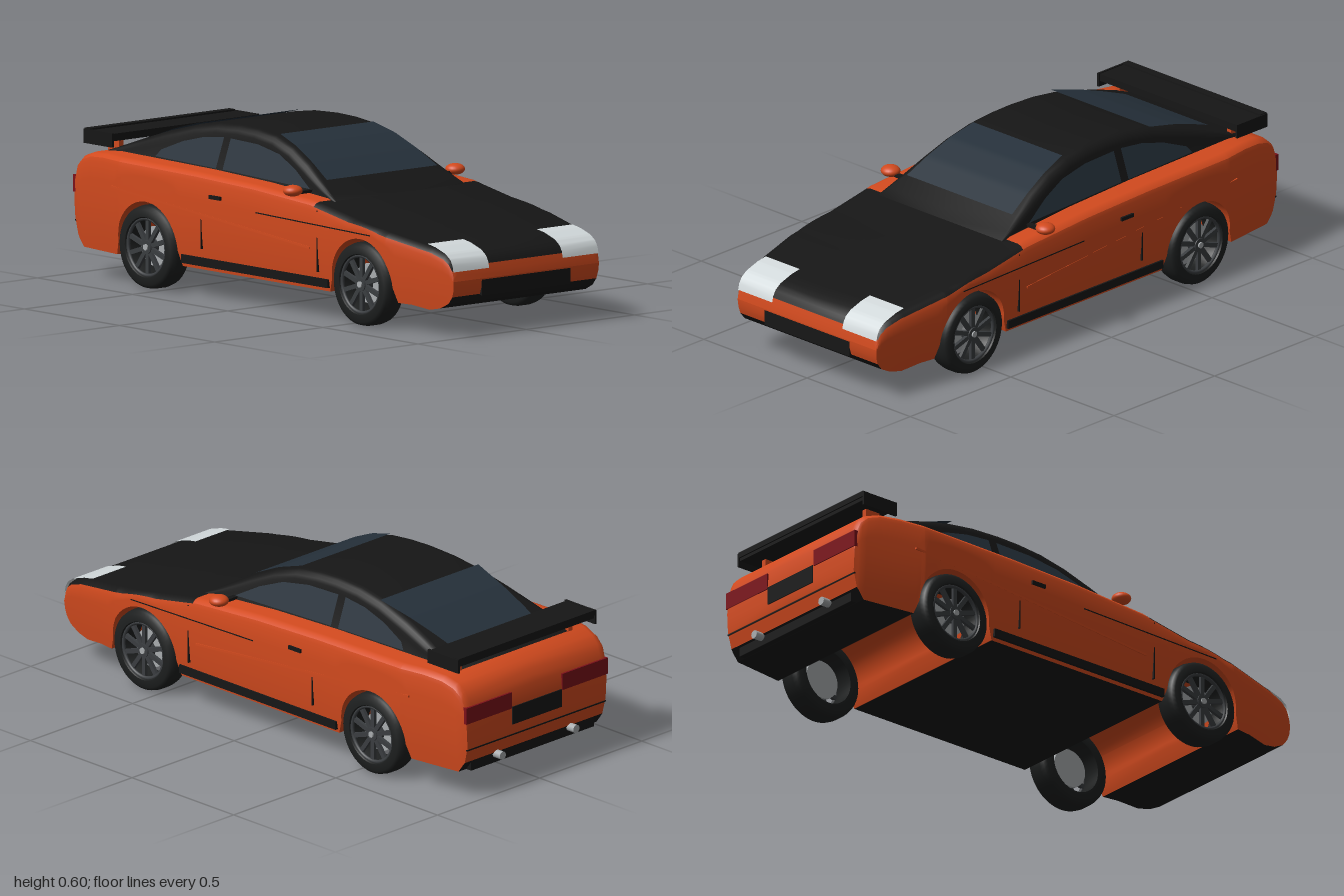
import * as THREE from 'three';
import { toCreasedNormals } from 'three/addons/utils/BufferGeometryUtils.js';

const paint = (color) => new THREE.MeshStandardMaterial({ color, side: THREE.DoubleSide });
const orange = paint(0xd24a1e), black = paint(0x161616), rubber = paint(0x1d1f1f);
const glass = paint(0x25303a), lamp = paint(0xd3dadc), red = paint(0x7c1019);
const metal = paint(0xa8acae), darkMetal = paint(0x3a3d40);

// Profiles along the car: [z, value], nose to tail
const TOP = [[1, .2], [.998, .225], [.993, .25], [.98, .272], [.955, .29], [.9, .308], [.86, .315], [.7, .342],
  [.5, .373], [.34, .402], [.3, .41], [0, .43], [-.3, .44], [-.8, .447], [-.88, .441], [-.93, .425],
  [-.96, .4], [-.98, .355], [-.985, .3]];
const BOTTOM = [[1, .2], [.998, .17], [.99, .145], [.97, .12], [.93, .1], [.88, .09], [.8, .1],
  [-.94, .1], [-.97, .14], [-.985, .2]];
const WIDTH = [[1, .342], [.97, .347], [.7, .388], [-.7, .388], [-.96, .352], [-.985, .343]];
const ROOF = [[.34, .405], [.3, .425], [.24, .458], [.15, .508], [.05, .553], [-.05, .582], [-.15, .594],
  [-.24, .597], [-.35, .592], [-.46, .575], [-.6, .538], [-.7, .505], [-.8, .468], [-.88, .44]];
const AXLES = [.565, -.56];
const ARCH = .157, FLARE = .175, ARCH_Y = .15;

const lerp = THREE.MathUtils.lerp;
function at(table, z) {
  if (z >= table[0][0]) return table[0][1];
  for (let i = 1; i < table.length; i++) {
    const [z0, v0] = table[i - 1], [z1, v1] = table[i];
    if (z >= z1) return lerp(v0, v1, (z0 - z) / (z0 - z1));
  }
  return table[table.length - 1][1];
}

// Underside height, including the wheel arches
function bottom(z) {
  for (const c of AXLES) {
    const d = Math.abs(z - c);
    if (d <= ARCH) return ARCH_Y + Math.sqrt(ARCH * ARCH - d * d);
    if (d < FLARE) return lerp(ARCH_Y, .1, (d - ARCH) / (FLARE - ARCH));
  }
  return at(BOTTOM, z);
}
const bodyX = (z, y) => at(WIDTH, z) * (1 - .05 * (Math.max(0, .33 - y) / .23) ** 2);
const cabinX = (y) => .3 - (y - .41) * .36;

// Skin over a list of cross-sections
function loft(rings) {
  const pos = [], n = rings[0].length;
  for (let i = 0; i + 1 < rings.length; i++) {
    for (let j = 0; j + 1 < n; j++) {
      const a = rings[i][j], b = rings[i + 1][j], c = rings[i + 1][j + 1], d = rings[i][j + 1];
      pos.push(...a, ...b, ...d, ...b, ...c, ...d);
    }
  }
  const geo = new THREE.BufferGeometry();
  geo.setAttribute('position', new THREE.Float32BufferAttribute(pos, 3));
  return toCreasedNormals(geo, .6);
}

// Half cross-sections, from bottom centre or base up to top centre
function bodySection(z, b = bottom(z), t = at(TOP, z)) {
  const r = Math.min(.03, .4 * (t - b)), pts = [[0, b, z]];
  for (let k = 0; k < 5; k++) {
    const y = lerp(b, t - r, k / 5);
    pts.push([bodyX(z, y), y, z]);
  }
  for (let k = 0; k <= 3; k++) {
    const a = k * Math.PI / 6;
    pts.push([bodyX(z, t - r) - r * (1 - Math.cos(a)), t - r + r * Math.sin(a), z]);
  }
  pts.push([0, t, z]);
  return pts;
}
function cabinSection(z) {
  const t = at(ROOF, z), b = Math.min(t, at(TOP, z)) - .02;
  const r = Math.min(.045, .5 * (t - b)), pts = [[cabinX(b), b, z]];
  for (let k = 0; k <= 5; k++) {
    const a = k * Math.PI / 10;
    pts.push([cabinX(t - r) - .9 * r * (1 - Math.cos(a)), t - r + r * Math.sin(a), z]);
  }
  pts.push([0, t, z]);
  return pts;
}

// Patch lying on a top profile, from z0 back to z1
function patch(table, z0, z1, xa, xb, lift, steps = 24) {
  const rings = [];
  for (let i = 0; i <= steps; i++) {
    const u = i / steps, z = lerp(z0, z1, u), y = at(table, z) + lift;
    rings.push([[lerp(xa[0], xa[1], u), y, z + lift * .5], [lerp(xb[0], xb[1], u), y, z + lift * .5]]);
  }
  return loft(rings);
}

export function createModel() {
  const car = new THREE.Group();
  car.name = 'sportsCar';
  const add = (name, geo, mat, x = 0, y = 0, z = 0, parent = car) => {
    const m = new THREE.Mesh(geo, mat);
    m.name = name;
    m.position.set(x, y, z);
    parent.add(m);
    return m;
  };
  const box = (name, mat, w, h, d, x, y, z, parent) => add(name, new THREE.BoxGeometry(w, h, d), mat, x, y, z, parent);
  const both = { left: new THREE.Group(), right: new THREE.Group() };
  both.right.scale.x = -1;
  for (const s of ['left', 'right']) { both[s].name = s + 'Side'; car.add(both[s]); }
  const pair = (make) => { make(both.left); make(both.right); };

  // Body shell: floor, sides and deck in lengthwise sections
  const stations = [...TOP, ...BOTTOM, ...WIDTH].map((p) => p[0]).concat(.32);
  for (const c of AXLES) {
    stations.push(c + FLARE, c - FLARE);
    for (let k = 0; k <= 24; k++) stations.push(c + ARCH * .99999 * Math.cos(k * Math.PI / 24));
  }
  const zs = [...new Set(stations)].sort((a, b) => b - a);
  const shell = (name, mat, front, back, from, to) => {
    const rings = zs.filter((z) => z <= front + 1e-6 && z >= back - 1e-6).map((z) => bodySection(z));
    if (back <= -.985) rings.push(bodySection(-.985, .25, .25));
    const geo = loft(rings.map((r) => r.slice(from, to)));
    pair((side) => add(name, geo, mat, 0, 0, 0, side));
  };
  const [fa, fb] = [AXLES[0] + FLARE, AXLES[0] - FLARE], [ra, rb] = [AXLES[1] + FLARE, AXLES[1] - FLARE];
  shell('bodySide', orange, 1, -.985, 1, 8);
  shell('nose', orange, 1, .993, 7, 11);
  shell('hood', black, .993, .32, 7, 11);
  shell('rearDeck', orange, .32, -.985, 7, 11);
  shell('frontBumper', orange, 1, .99, 0, 2);
  shell('frontFloor', black, .99, fa, 0, 2);
  shell('frontArch', orange, fa, fb, 0, 2);
  shell('floor', black, fb, ra, 0, 2);
  shell('rearArch', orange, ra, rb, 0, 2);
  shell('rearFloor', black, rb, -.97, 0, 2);
  shell('rearBumper', orange, -.97, -.985, 0, 2);

  // Cabin and glass
  const cabin = loft(ROOF.map(([z]) => cabinSection(z)));
  pair((side) => add('cabin', cabin, black, 0, 0, 0, side));
  add('windshield', patch(ROOF, .24, -.05, [.255, .215], [-.255, -.215], .005), glass);
  add('rearWindow', patch(ROOF, -.46, -.79, [.24, .2], [-.24, -.2], .005), glass);
  const sideWindow = (name, pts) => {
    const geo = new THREE.ShapeGeometry(new THREE.Shape(pts.map((p) => new THREE.Vector2(-p[0], p[1]))));
    const p = geo.attributes.position;
    for (let i = 0; i < p.count; i++) p.setXYZ(i, cabinX(p.getY(i)) + .003, p.getY(i), -p.getX(i));
    geo.computeVertexNormals();
    pair((side) => add(name, geo, glass, 0, 0, 0, side));
  };
  sideWindow('frontSideWindow', [[.2, .43], [-.265, .444], [-.265, .55], [-.12, .546], [0, .526], [.1, .486]]);
  sideWindow('rearSideWindow', [[-.3, .444], [-.62, .45], [-.6, .475], [-.5, .515], [-.4, .54], [-.3, .55]]);

  // Front lights and grille
  const light = patch(TOP, .997, .86, [.335, .335], [.17, .17], .004);
  pair((side) => add('headlight', light, lamp, 0, 0, 0, side));
  box('grille', black, .41, .055, .024, 0, .168, .988);

  // Tail panel, lights and exhausts
  box('tailPanel', black, .24, .065, .012, 0, .262, -.983);
  box('bumperSeam', black, .68, .005, .006, 0, .19, -.982);
  box('diffuser', black, .6, .035, .03, 0, .118, -.95);
  pair((side) => {
    box('tailLight', red, .222, .06, .02, .235, .32, -.978, side);
    add('exhaust', new THREE.CylinderGeometry(.015, .015, .07, 20), metal, .18, .133, -.965, side).rotation.x = Math.PI / 2;
  });

  // Spoiler
  box('spoilerBlade', black, .67, .026, .14, 0, .499, -.865);
  box('spoilerLip', black, .67, .02, .03, 0, .508, -.925);
  pair((side) => {
    box('spoilerEndPlate', black, .008, .05, .15, .335, .49, -.865, side);
    box('spoilerPost', orange, .02, .06, .06, .27, .465, -.85, side);
  });

  // Mirrors, door seams, handles, creases and sills
  pair((side) => {
    add('mirror', new THREE.SphereGeometry(1, 24, 16), orange, .375, .433, .2, side).scale.set(.035, .02, .034);
    box('mirrorStalk', black, .1, .01, .02, .315, .424, .2, side);
    for (const [z, y0, y1] of [[.34, .165, .38], [-.27, .175, .385]]) {
      box('doorSeam', black, .02, y1 - y0, .005, .377, (y0 + y1) / 2, z, side);
    }
    box('doorHandle', black, .02, .013, .06, .386, .364, -.19, side);
    box('sideSeam', black, .006, .004, .6, .386, .33, .32, side).rotation.x = .02;
    box('sideCrease', orange, .01, .008, 1.05, .383, .292, -.22, side).rotation.x = .09;
    box('sill', black, .03, .03, .77, .367, .128, .005, side);
  });

  // Wheels
  const tyre = new THREE.LatheGeometry([[.1, -.045], [.132, -.045], [.143, -.036], [.147, -.018], [.147, .018],
    [.143, .036], [.132, .045], [.106, .045], [.1, .035], [.1, -.045]].map((p) => new THREE.Vector2(...p)), 48);
  const wheel = (side, z) => {
    const g = new THREE.Group();
    g.name = 'wheel';
    g.position.set(.345, .147, z);
    side.add(g);
    const turned = (name, geo, mat, x) => { add(name, geo, mat, x, 0, 0, g).rotation.z = -Math.PI / 2; };
    turned('tyre', toCreasedNormals(tyre, .7), rubber, 0);
    turned('brakeDisc', new THREE.CylinderGeometry(.07, .07, .012, 32), metal, -.005);
    turned('hub', new THREE.CylinderGeometry(.024, .028, .035, 24), darkMetal, .022);
    turned('hubCap', new THREE.CylinderGeometry(.011, .011, .006, 16), metal, .042);
    const rim = add('rim', new THREE.TorusGeometry(.1, .007, 8, 48), darkMetal, .034, 0, 0, g);
    rim.rotation.y = Math.PI / 2;
    for (let k = 0; k < 10; k++) {
      const a = k * Math.PI / 5;
      const spoke = box('spoke', darkMetal, .012, .082, .016, .03, .06 * Math.cos(a), .06 * Math.sin(a), g);
      spoke.rotation.x = a;
    }
  };
  for (const z of AXLES) pair((side) => wheel(side, z));
  return car;
}
